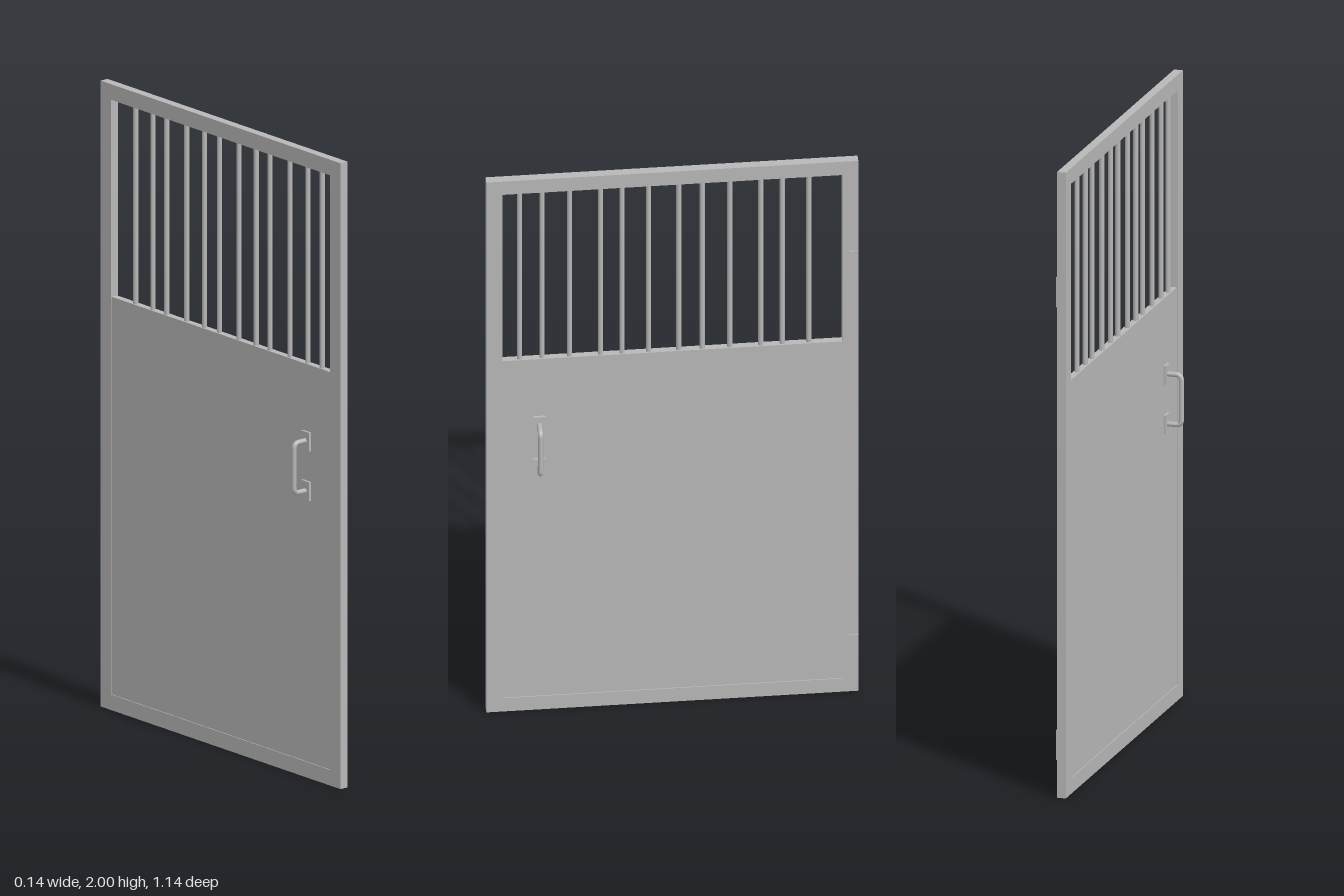
import * as THREE from 'three';

export function createModel() {
  const door = new THREE.Group();
  door.name = 'barredDoor';
  const steel = new THREE.MeshStandardMaterial({ color: 0xb8b8b8 });
  steel.name = 'grey steel';

  const add = (name, geometry, x = 0, y = 0, z = 0, parent = door) => {
    const mesh = new THREE.Mesh(geometry, steel);
    mesh.name = name;
    mesh.position.set(x, y, z);
    parent.add(mesh);
    return mesh;
  };

  const halfWidth = 0.572, halfOpening = 0.523, thickness = 0.028;
  const sill = 1.32, openingTop = 1.95, openingBottom = 0.05;

  // Outer frame: a flat ring with one tall opening
  const rect = (P, w, y0, y1) => {
    const p = new P();
    p.moveTo(-w, y0);
    p.lineTo(w, y0);
    p.lineTo(w, y1);
    p.lineTo(-w, y1);
    p.closePath();
    return p;
  };
  const outline = rect(THREE.Shape, halfWidth, 0, 2);
  outline.holes.push(rect(THREE.Path, halfOpening, openingBottom, openingTop));
  const frame = new THREE.ExtrudeGeometry(outline, { depth: thickness, bevelEnabled: false });
  frame.translate(0, 0, -thickness / 2).rotateY(-Math.PI / 2);
  add('frame', frame);

  // Lower sheet, set slightly back from both faces of the frame
  add('panel', new THREE.BoxGeometry(0.022, sill - openingBottom, halfOpening * 2),
    0, (sill + openingBottom) / 2, 0);

  // Unevenly spaced round bars in the upper opening
  const bars = new THREE.Group();
  bars.name = 'windowBars';
  door.add(bars);
  const barGeometry = new THREE.CylinderGeometry(0.008, 0.008, openingTop - sill, 12);
  const barZ = [0.469, 0.4, 0.315, 0.22, 0.154, 0.072, -0.021, -0.093, -0.178, -0.273, -0.339, -0.421];
  for (const z of barZ) add('bar', barGeometry, 0, (openingTop + sill) / 2, z, bars);

  // Pull handle with mounting plates on each face
  const reach = 0.063, low = 0.917, high = 1.077, bend = 0.018, handleZ = 0.41;
  for (const side of [1, -1]) {
    const handle = new THREE.Group();
    handle.name = side > 0 ? 'leftHandle' : 'rightHandle';
    door.add(handle);
    const v = (x, y) => new THREE.Vector3(side * x, y, handleZ);
    const path = new THREE.CurvePath();
    path.add(new THREE.LineCurve3(v(0.01, low), v(reach - bend, low)));
    path.add(new THREE.QuadraticBezierCurve3(v(reach - bend, low), v(reach, low), v(reach, low + bend)));
    path.add(new THREE.LineCurve3(v(reach, low + bend), v(reach, high - bend)));
    path.add(new THREE.QuadraticBezierCurve3(v(reach, high - bend), v(reach, high), v(reach - bend, high)));
    path.add(new THREE.LineCurve3(v(reach - bend, high), v(0.01, high)));
    add('grip', new THREE.TubeGeometry(path, 64, 0.008, 12), 0, 0, 0, handle);
    for (const y of [0.918, 1.076])
      add('mountingPlate', new THREE.BoxGeometry(0.009, 0.06, 0.038), side * 0.0145, y, handleZ, handle);
  }

  // Hinge leaves along the rear edge
  for (const y of [0.168, 1.615])
    add('hinge', new THREE.BoxGeometry(0.008, 0.095, 0.028), 0.0135, y, -0.558);

  return door;
}
